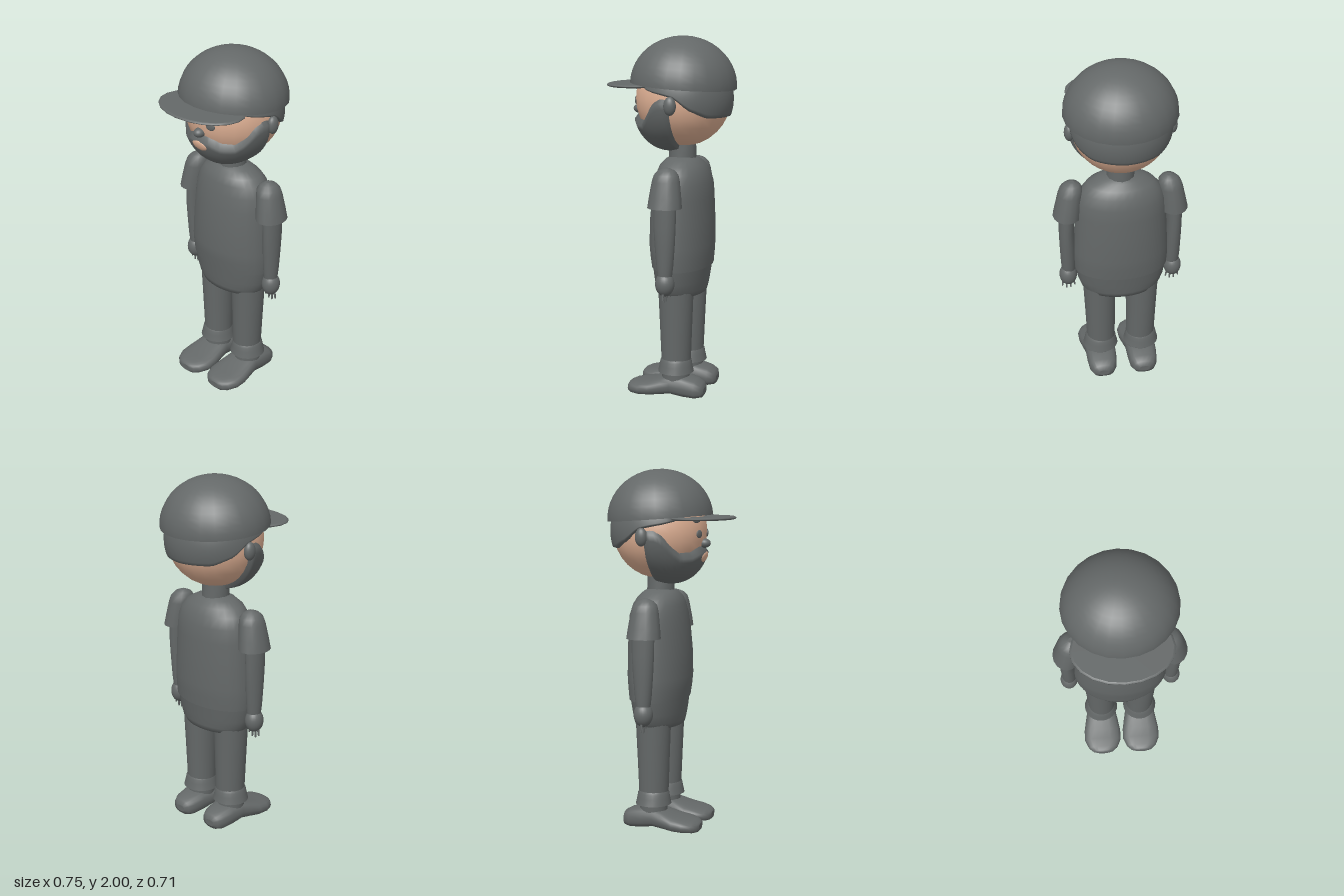
import * as THREE from 'three';

const dark = new THREE.MeshStandardMaterial({ name: 'charcoal', color: 0x646868, side: THREE.DoubleSide });
const skin = new THREE.MeshStandardMaterial({ name: 'skin', color: 0xdcae92 });
const CZ = -0.065, HEAD_Y = 1.66, HEAD_R = 0.26;

// Smooth body through elliptical rings [y, cx, cz, rx, rz], listed upwards, with flat end caps
function loft(rings, n = 24, power = 1) {
  const pos = [], idx = [];
  const bend = (v) => Math.sign(v) * Math.abs(v) ** power;
  const addRing = ([y, cx, cz, rx, rz]) => {
    for (let j = 0; j < n; j++) {
      const a = (j / n) * Math.PI * 2;
      pos.push(cx + rx * bend(Math.cos(a)), y, cz + rz * bend(Math.sin(a)));
    }
  };
  rings.forEach(addRing);
  for (let i = 0; i < rings.length - 1; i++) {
    for (let j = 0; j < n; j++) {
      const a = i * n + j, b = i * n + (j + 1) % n;
      idx.push(a, a + n, b, b, a + n, b + n);
    }
  }
  [rings[0], rings[rings.length - 1]].forEach((r, top) => {
    const s = pos.length / 3;
    addRing(r);
    pos.push(r[1], r[0], r[2]);
    for (let j = 0; j < n; j++) {
      const a = s + j, b = s + (j + 1) % n;
      top ? idx.push(s + n, b, a) : idx.push(s + n, a, b);
    }
  });
  return toGeometry(pos, idx);
}

function toGeometry(pos, idx) {
  const g = new THREE.BufferGeometry();
  g.setAttribute('position', new THREE.Float32BufferAttribute(pos, 3));
  g.setIndex(idx);
  g.computeVertexNormals();
  return g;
}

// Piecewise linear lookup in [[key, value], ...]
function lookup(table, k) {
  for (let i = 1; i < table.length; i++) {
    const [k0, v0] = table[i - 1], [k1, v1] = table[i];
    if (k <= k1) return v0 + (v1 - v0) * Math.max(0, (k - k0) / (k1 - k0));
  }
  return table[table.length - 1][1];
}

// Raised patch on the head between two edges; azimuth 0 is the front
function headPatch(a0, a1, low, high, radius, cols = 40, rows = 14) {
  const pos = [], idx = [], W = cols + 1;
  for (let i = 0; i <= rows; i++) {
    for (let j = 0; j <= cols; j++) {
      const a = a0 + (a1 - a0) * j / cols;
      const e = low(a) + (high(a) - low(a)) * i / rows;
      const rim = i === rows || j === 0 || j === cols || (i === 0 && low(a) > -1.5);
      const r = rim ? HEAD_R - 0.005 : radius(a, e);
      pos.push(r * Math.cos(e) * Math.sin(a), HEAD_Y + r * Math.sin(e), CZ + r * Math.cos(e) * Math.cos(a));
      if (i < rows && j < cols) {
        const p = i * W + j;
        idx.push(p, p + 1, p + W, p + 1, p + W + 1, p + W);
      }
    }
  }
  return toGeometry(pos, idx);
}

export function createModel() {
  const model = new THREE.Group();
  model.name = 'cappedFigure';
  const add = (name, geo, mat = dark, parent = model) => {
    const m = new THREE.Mesh(geo, mat);
    m.name = name;
    parent.add(m);
    return m;
  };
  const ball = (name, x, y, z, rx, ry, rz, mat = dark, parent = model) => {
    const m = add(name, new THREE.SphereGeometry(1, 24, 16), mat, parent);
    m.position.set(x, y, z);
    m.scale.set(rx, ry, rz);
    return m;
  };

  // Head and face
  ball('head', 0, HEAD_Y, CZ, HEAD_R + 0.005, HEAD_R, HEAD_R, skin);
  ball('nose', 0, 1.597, 0.19, 0.03, 0.026, 0.035);
  const elev = (y, r) => Math.asin((y - HEAD_Y) / r);
  const beardTop = [[0, 1.58], [0.25, 1.578], [0.5, 1.552], [0.8, 1.55], [1.0, 1.585], [1.26, 1.668], [1.4, 1.685], [1.7, 1.68]];
  add('beard', headPatch(-1.62, 1.62, () => -Math.PI / 2, (a) => elev(lookup(beardTop, Math.abs(a)), 0.27),
    (a, e) => 0.28 + 0.08 * Math.max(0, Math.cos(a)) * Math.sin(e) ** 2 * Math.cos(e)));
  const mouth = ball('mouth', 0, 1.522, 0.188, 0.052, 0.033, 0.014, skin);
  mouth.rotation.x = 0.4;

  // Hair round the sides and back
  const hairLow = [[0.9, 1.725], [1.2, 1.705], [1.5, 1.69], [1.7, 1.675], [1.98, 1.61], [2.4, 1.563], [3.15, 1.557]];
  add('hair', headPatch(0.9, Math.PI * 2 - 0.9,
    (a) => elev(lookup(hairLow, Math.min(a, Math.PI * 2 - a)), 0.27), () => elev(1.78, 0.27), () => 0.276));

  // Cap: tilted dome and a flat brim
  const cap = new THREE.Group();
  cap.name = 'cap';
  cap.position.set(0, 1.731, CZ);
  cap.rotation.x = -0.07;
  model.add(cap);
  const dome = add('capDome', new THREE.SphereGeometry(1, 24, 12, 0, Math.PI * 2, 0, Math.PI / 2), dark, cap);
  dome.scale.set(0.305, 0.268, 0.292);
  add('capBrim', loft([[1.727, 0, 0.17, 0.255, 0.178], [1.732, 0, 0.17, 0.266, 0.187],
    [1.737, 0, 0.17, 0.266, 0.187], [1.742, 0, 0.17, 0.255, 0.178]], 20));

  // Neck, shirt and hips
  add('neck', loft([[1.31, 0, -0.062, 0.078, 0.078], [1.43, 0, -0.062, 0.075, 0.075]], 12));
  add('shirt', loft([
    [0.735, 0, -0.066, 0.262, 0.160], [0.80, 0, -0.064, 0.267, 0.168], [0.86, 0, -0.063, 0.267, 0.173],
    [1.0, 0, -0.064, 0.259, 0.171], [1.12, 0, -0.067, 0.251, 0.163], [1.2, 0, -0.07, 0.242, 0.154],
    [1.26, 0, -0.068, 0.218, 0.138], [1.3, 0, -0.064, 0.182, 0.119], [1.33, 0, -0.062, 0.125, 0.09],
    [1.345, 0, -0.062, 0.07, 0.06]], 28));
  add('hips', loft([
    [0.572, 0, -0.064, 0.14, 0.09], [0.582, 0, -0.064, 0.205, 0.128], [0.61, 0, -0.064, 0.228, 0.134],
    [0.66, 0, -0.064, 0.245, 0.142], [0.75, 0, -0.065, 0.259, 0.155]], 28));

  for (const s of [1, -1]) {
    const side = s > 0 ? 'left' : 'right';
    const limb = (name, rings, n, power) =>
      add(side + name, loft(rings.map(([y, x, z, rx, rz]) => [y, x * s, z, rx, rz]), n, power));

    // Face details and ears
    const eye = ball(side + 'Eye', s * 0.075, 1.65, 0.183, 0.026, 0.022, 0.007);
    eye.rotation.y = s * 0.3;
    const brow = ball(side + 'Eyebrow', s * 0.085, 1.722, 0.171, 0.032, 0.012, 0.008);
    brow.rotation.y = s * 0.35;
    ball(side + 'Ear', s * 0.272, 1.64, -0.08, 0.028, 0.05, 0.034);

    // Arm with a short flared sleeve
    limb('Sleeve', [
      [1.1, 0.296, -0.06, 0.079, 0.095], [1.16, 0.288, -0.06, 0.074, 0.088], [1.24, 0.276, -0.06, 0.068, 0.076],
      [1.275, 0.27, -0.06, 0.061, 0.067], [1.298, 0.267, -0.06, 0.043, 0.046], [1.311, 0.265, -0.06, 0.014, 0.015]], 16);
    limb('Arm', [
      [0.72, 0.297, -0.062, 0.037, 0.038], [0.78, 0.298, -0.062, 0.041, 0.046], [0.9, 0.3, -0.062, 0.043, 0.056],
      [1.0, 0.302, -0.062, 0.043, 0.062], [1.15, 0.298, -0.062, 0.045, 0.064]], 16);
    ball(side + 'Hand', s * 0.3, 0.683, -0.062, 0.05, 0.066, 0.053);
    for (let i = 0; i < 4; i++) {
      const tip = i === 0 || i === 3 ? 0.6 : 0.584;
      limb('Finger' + (i + 1), [[tip, 0.263 + i * 0.024, -0.062, 0.004, 0.005],
        [0.65, 0.273 + i * 0.018, -0.062, 0.007, 0.008]], 8);
    }

    // Leg, trouser cuff and sock
    limb('Leg', [[0.19, 0.117, -0.065, 0.082, 0.082], [0.4, 0.12, -0.065, 0.087, 0.09], [0.62, 0.123, -0.065, 0.094, 0.099]]);
    limb('Cuff', [[0.143, 0.121, -0.065, 0.102, 0.1], [0.18, 0.121, -0.065, 0.092, 0.092],
      [0.205, 0.12, -0.065, 0.088, 0.088], [0.218, 0.12, -0.065, 0.081, 0.081]]);
    limb('Sock', [[0.08, 0.121, -0.065, 0.08, 0.078], [0.15, 0.121, -0.065, 0.08, 0.078]]);

    // Shoe: cross-sections [z, half width, sole, top] from heel to toe
    const shoe = [[-0.235, 0.03, 0.025, 0.06], [-0.225, 0.06, 0.008, 0.09], [-0.19, 0.08, 0, 0.108],
      [-0.12, 0.088, 0.004, 0.126], [-0.05, 0.09, 0.015, 0.127], [0.0, 0.1, 0.01, 0.113], [0.07, 0.113, 0.002, 0.09],
      [0.13, 0.113, 0, 0.078], [0.18, 0.09, 0, 0.068], [0.203, 0.062, 0.004, 0.058], [0.211, 0.03, 0.012, 0.048]];
    const shoeGeo = loft(shoe.map(([z, w, lo, hi]) => [z, s * 0.121, -(lo + hi) / 2, w, (hi - lo) / 2]), 20, 0.75);
    add(side + 'Shoe', shoeGeo.rotateX(Math.PI / 2));
  }
  return model;
}
